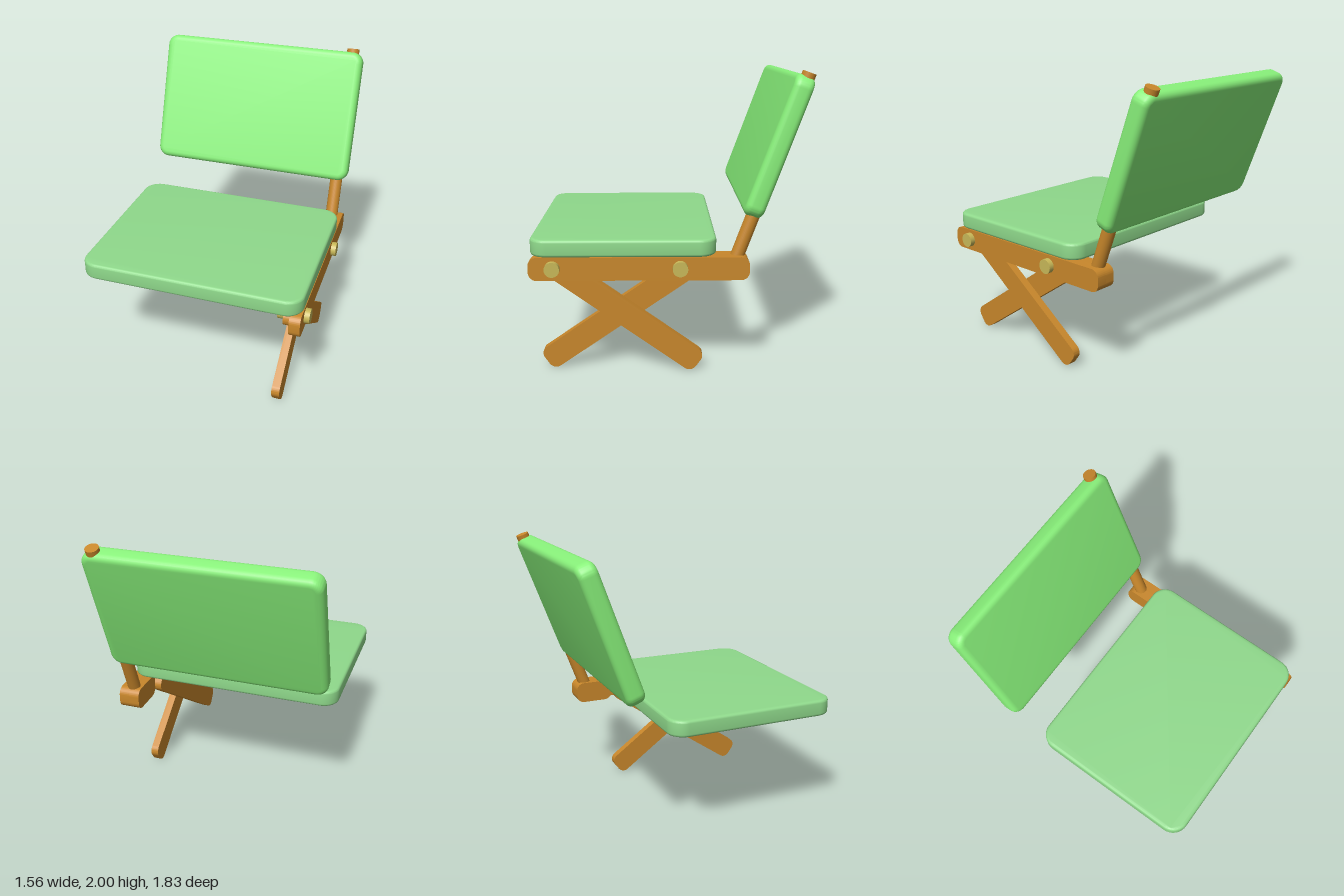
import * as THREE from 'three';
import { toCreasedNormals } from 'three/addons/utils/BufferGeometryUtils.js';

const paint = (color) => new THREE.MeshStandardMaterial({ color });
const wood = paint(0xc8872b);
const brass = paint(0xc8b858);
const seatGreen = paint(0x8fd98b);
const backGreen = paint(0x88f07a);

// Rounded rectangle centred on the origin
function roundedRect(w, h, r) {
  const s = new THREE.Shape();
  const x = w / 2 - r, y = h / 2 - r;
  s.absarc(x, y, r, 0, Math.PI / 2);
  s.absarc(-x, y, r, Math.PI / 2, Math.PI);
  s.absarc(-x, -y, r, Math.PI, Math.PI * 1.5);
  s.absarc(x, -y, r, Math.PI * 1.5, Math.PI * 2);
  s.closePath();
  return s;
}

// Rounded slab lying in XY, centred in Z; sizes include the bevel
function slab(w, h, depth, corner, bevel) {
  const g = new THREE.ExtrudeGeometry(
    roundedRect(w - 2 * bevel, h - 2 * bevel, corner - bevel),
    {
      depth: depth - 2 * bevel, curveSegments: 8,
      bevelEnabled: bevel > 0, bevelSize: bevel, bevelThickness: bevel, bevelSegments: 5,
    });
  g.translate(0, 0, -(depth - 2 * bevel) / 2);
  return toCreasedNormals(g, 0.6);
}

function add(group, name, geometry, material) {
  const mesh = new THREE.Mesh(geometry, material);
  mesh.name = name;
  group.add(mesh);
  return mesh;
}

// Flat wooden bar between two (z, y) end points, spanning x0..x1
function bar(group, name, [z0, y0], [z1, y1], width, x0, x1, corner) {
  const g = slab(Math.hypot(z1 - z0, y1 - y0), width, x1 - x0, corner, 0);
  g.rotateZ(Math.atan2(y1 - y0, z1 - z0));
  g.rotateY(-Math.PI / 2);
  g.translate((x0 + x1) / 2, (y0 + y1) / 2, (z0 + z1) / 2);
  return add(group, name, g, wood);
}

export function createModel() {
  const model = new THREE.Group();
  model.name = 'foldingChair';
  const midX = -0.02, width = 1.525;

  // Seat cushion
  const seat = add(model, 'seat', slab(width, 1.22, 0.115, 0.115, 0.02), seatGreen);
  seat.rotation.x = -Math.PI / 2;
  seat.position.set(midX, 0.867, 0.302);

  // Leaning back cushion
  const lean = THREE.MathUtils.degToRad(20);
  const back = add(model, 'backrest', slab(width, 0.955, 0.13, 0.08, 0.04), backGreen);
  back.rotation.x = -lean;
  back.position.set(midX, 1.513, -0.692);

  // Round post carrying the backrest
  const post = add(model, 'backPost', new THREE.CylinderGeometry(0.045, 0.045, 1.36, 32), wood);
  post.rotation.x = -lean;
  post.position.set(0.658, 1.982 - 0.68 * Math.cos(lean), -0.874 + 0.68 * Math.sin(lean));

  // Side rail and the short block beside its rear end
  bar(model, 'sideRail', [-0.52, 0.733], [0.915, 0.733], 0.155, 0.668, 0.742, 0.055);
  bar(model, 'rearBlock', [-0.52, 0.733], [-0.24, 0.733], 0.155, 0.594, 0.668, 0.055);

  // Crossed legs
  bar(model, 'outerLeg', [-0.195, 0.047], [0.812, 0.773], 0.163, 0.612, 0.668, 0.055);
  bar(model, 'innerLeg', [0.828, 0.047], [-0.195, 0.755], 0.163, 0.556, 0.612, 0.055);

  // Pivot bolts
  for (const [name, z, x0] of [['frontBolt', 0.758, 0.566], ['rearBolt', -0.07, 0.5]]) {
    const bolt = add(model, name, new THREE.CylinderGeometry(0.05, 0.05, 0.778 - x0, 32), brass);
    bolt.rotation.z = Math.PI / 2;
    bolt.position.set((x0 + 0.778) / 2, 0.738, z);
  }

  return model;
}
